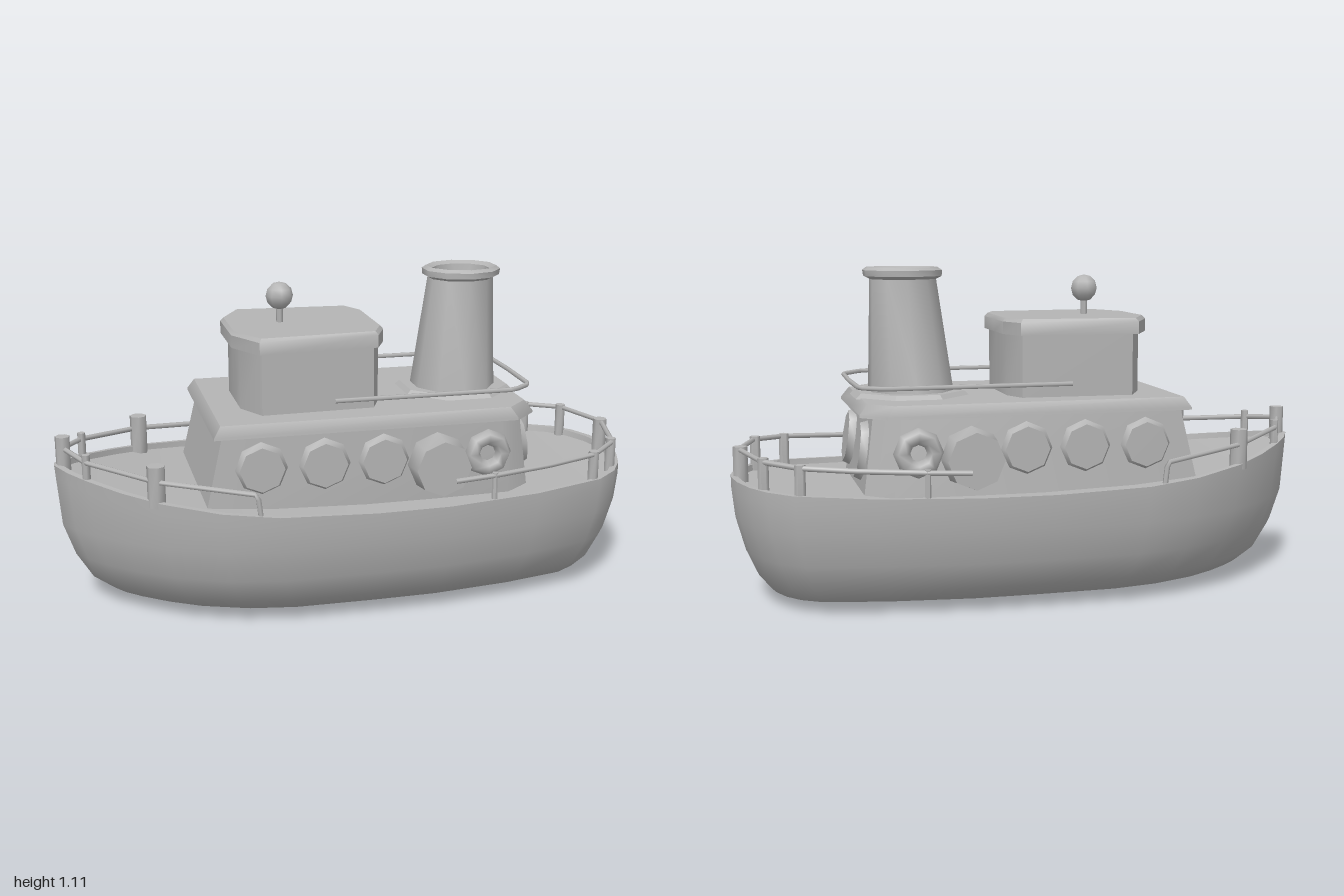
import * as THREE from 'three';
import { toCreasedNormals } from 'three/addons/utils/BufferGeometryUtils.js';

const grey = new THREE.MeshStandardMaterial({ color: 0xb4b4b4 });
grey.name = 'plain grey';

const V = (x, y, z) => new THREE.Vector3(x, y, z);

// Each ring is a half outline of [x, y, z], bow to stern with z > 0, mirrored into a loop.
function loft(halves, capTop = true, capBottom = true, crease = 0.7) {
  const m = halves[0].length, n = 2 * m, pos = [], idx = [];
  for (const h of halves) {
    for (const [x, y, z] of h) pos.push(x, y, z);
    for (const [x, y, z] of [...h].reverse()) pos.push(x, y, -z);
  }
  const quad = (a, b, c, d) => idx.push(a, b, c, a, c, d);
  for (let i = 0; i < halves.length - 1; i++) {
    for (let j = 0; j < n; j++) {
      const k = (j + 1) % n;
      quad(i * n + j, i * n + k, (i + 1) * n + k, (i + 1) * n + j);
    }
  }
  const t = (halves.length - 1) * n;
  for (let j = 0; j < m - 1; j++) {
    if (capTop) quad(t + j, t + j + 1, t + n - 2 - j, t + n - 1 - j);
    if (capBottom) quad(n - 1 - j, n - 2 - j, j + 1, j);
  }
  const g = new THREE.BufferGeometry();
  g.setAttribute('position', new THREE.Float32BufferAttribute(pos, 3));
  g.setIndex(idx);
  return toCreasedNormals(g, crease);
}

const sheer = (x) => 0.402 + (x < 0 ? 0.098 * x * x : 0.025 * x ** 3);

// Half outline of the hull at the gunwale: [x, z]
const PLAN = [[-1, 0.015], [-0.96, 0.085], [-0.9, 0.155], [-0.8, 0.25], [-0.68, 0.338], [-0.5, 0.42],
  [-0.32, 0.457], [0, 0.462], [0.25, 0.457], [0.57, 0.412], [0.82, 0.347], [0.9, 0.285], [0.95, 0.21], [0.985, 0.115],
  [1, 0.03]];

// One horizontal hull ring, fitted between bow and stern
function hullRing(yOf, width, bow, stern) {
  return PLAN.map(([x, z]) => {
    const px = bow + (stern - bow) * (x + 1) / 2;
    return [px, yOf(x), z * width];
  });
}

export function createModel() {
  const root = new THREE.Group();
  root.name = 'tugboat';
  const add = (name, geometry, x = 0, y = 0, z = 0) => {
    const mesh = new THREE.Mesh(geometry, grey);
    mesh.name = name;
    mesh.position.set(x, y, z);
    root.add(mesh);
    return mesh;
  };
  const flatRing = (plan, y, s = 1, cx = 0) => plan.map(([x, z]) => [cx + (x - cx) * s, y, z * s]);

  // Hull with gunwale and inner bulwark
  add('hull', loft([
    hullRing(() => 0.003, 0.02, -0.6, 0.75),
    hullRing(() => 0.04, 0.7, -0.82, 0.88),
    hullRing(() => 0.09, 0.825, -0.89, 0.92),
    hullRing(() => 0.18, 0.92, -0.945, 0.96),
    hullRing(() => 0.29, 0.975, -0.983, 0.99),
    hullRing((x) => sheer(x) - 0.04, 0.995, -0.997, 1),
    hullRing(sheer, 1, -1, 1),
    hullRing(sheer, 0.965, -0.975, 0.978),
    hullRing((x) => sheer(x) - 0.035, 0.955, -0.97, 0.97),
  ], false, true, 0.9));
  add('deck', loft([
    hullRing((x) => sheer(x) - 0.06, 0.96, -0.973, 0.973),
    hullRing((x) => sheer(x) - 0.02, 0.96, -0.973, 0.973),
  ]));

  // Deckhouse, leaning inward, and its overhanging roof
  const houseFoot = [[-0.54, 0.01], [-0.54, 0.315], [0.5, 0.315], [0.59, 0.25], [0.59, 0.01]];
  const houseHead = [[-0.475, 0.01], [-0.475, 0.3], [0.47, 0.3], [0.555, 0.24], [0.555, 0.01]];
  add('deckhouse', loft([flatRing(houseFoot, 0.37), flatRing(houseHead, 0.65)]));
  const roofPlan = [[-0.505, 0.01], [-0.505, 0.33], [0.52, 0.33], [0.6, 0.25], [0.6, 0.01]];
  add('deckhouseRoof', loft([flatRing(roofPlan, 0.642), flatRing(roofPlan, 0.65), flatRing(roofPlan, 0.685, 0.955)]));

  // Wheelhouse with a slightly domed roof
  const cabinPlan = [[-0.385, 0.01], [-0.385, 0.12], [-0.33, 0.225], [0.05, 0.212], [0.085, 0.13], [0.085, 0.01]];
  add('wheelhouse', loft([flatRing(cabinPlan, 0.675), flatRing(cabinPlan, 0.905)]));
  const capPlan = [[-0.41, 0.01], [-0.41, 0.12], [-0.34, 0.255], [0.06, 0.23], [0.1, 0.14], [0.1, 0.01]];
  add('wheelhouseRoof', loft([
    flatRing(capPlan, 0.893), flatRing(capPlan, 0.935), flatRing(capPlan, 0.947, 0.96, -0.15),
  ]));
  add('lampStem', new THREE.CylinderGeometry(0.012, 0.012, 0.07, 6), -0.225, 0.975, 0);
  add('lamp', new THREE.SphereGeometry(0.047, 8, 6), -0.225, 1.037, 0);

  // Hollow funnel, sheared slightly aft and narrowing faster across the beam, on an octagonal collar
  const funnel = new THREE.LatheGeometry([[0.148, 0], [0.114, 0.395], [0.134, 0.405], [0.136, 0.425],
    [0.122, 0.435], [0.1, 0.425], [0.085, 0.3], [0.001, 0.3]].map(([r, y]) => new THREE.Vector2(r, y)), 10);
  const fp = funnel.attributes.position;
  for (let i = 0; i < fp.count; i++) {
    fp.setX(i, fp.getX(i) + fp.getY(i) * 0.06);
    fp.setZ(i, fp.getZ(i) * (1.07 - fp.getY(i) * 0.33));
  }
  add('funnel', toCreasedNormals(funnel, 0.8), 0.39, 0.68, 0);
  const collar = new THREE.CylinderGeometry(0.19, 0.21, 0.018, 8);
  collar.rotateY(Math.PI / 8);
  add('funnelCollar', toCreasedNormals(collar, 0.5), 0.395, 0.69, 0);

  // Portholes along both sides and on the sloping stern wall
  const port = (r, depth, taper) => {
    const g = new THREE.CylinderGeometry(r * taper, r, depth, 8);
    g.rotateX(Math.PI / 2);
    return toCreasedNormals(g, 0.9);
  };
  for (const s of [1, -1]) {
    for (const x of [-0.35, -0.14, 0.06]) {
      const p = add('sidePorthole', port(0.094, 0.03, 0.8), x, 0.53, s * 0.31);
      p.rotation.y = s > 0 ? 0 : Math.PI;
    }
    const big = add('largePorthole', port(0.104, 0.09, 0.9), 0.245, 0.508, s * 0.345);
    big.rotation.y = s > 0 ? 0 : Math.PI;
    add('ringPorthole', new THREE.TorusGeometry(0.055, 0.028, 6, 8), 0.42, 0.53, s * 0.312);
    const stern = add('sternPorthole', port(0.1, 0.025, 0.9), 0.586, 0.522, s * 0.153);
    stern.rotation.set(0, Math.PI / 2, 0.14, 'ZYX');
    stern.scale.x = 0.78;
  }

  // Rails follow straight segments through their points
  const rail = (name, pts, r) => {
    const path = new THREE.CurvePath();
    for (let i = 0; i < pts.length - 1; i++) path.add(new THREE.LineCurve3(pts[i], pts[i + 1]));
    add(name, new THREE.TubeGeometry(path, pts.length * 8, r, 6));
  };
  const both = (pts) => [...pts, ...pts.slice(0, -1).reverse().map((p) => V(p.x, p.y, -p.z))];

  rail('roofRail', both([V(-0.1, 0.737, 0.288), V(0.52, 0.737, 0.288), V(0.595, 0.735, 0.22), V(0.6, 0.735, 0)]), 0.008);
  rail('bowRail', both([V(-0.375, 0.4, 0.432), V(-0.385, 0.485, 0.43), V(-0.69, 0.515, 0.317),
    V(-0.9, 0.54, 0.14), V(-0.97, 0.555, 0)]), 0.009);
  rail('sternRail', both([V(0.27, 0.48, 0.435), V(0.41, 0.485, 0.422), V(0.62, 0.492, 0.382), V(0.8, 0.502, 0.335),
    V(0.91, 0.51, 0.235), V(0.972, 0.515, 0)]), 0.009);

  // Rail posts and bollards: x, z, top, radius
  const post = (name, x, z, top, r) => {
    const foot = sheer(x) - 0.02;
    add(name, toCreasedNormals(new THREE.CylinderGeometry(r, r, top - foot, 7), 0.9), x, (top + foot) / 2, z);
  };
  for (const s of [1, -1]) {
    post('bowPost', -0.9, s * 0.13, 0.565, 0.014);
    post('bollard', -0.69, s * 0.3, 0.565, 0.03);
    post('midPost', 0.41, s * 0.42, 0.495, 0.01);
    post('quarterPost', 0.8, s * 0.328, 0.512, 0.018);
    post('sternSidePost', 0.907, s * 0.228, 0.522, 0.018);
  }
  post('stemPost', -0.968, 0, 0.595, 0.025);
  post('sternPost', 0.968, 0, 0.525, 0.025);

  return root;
}
